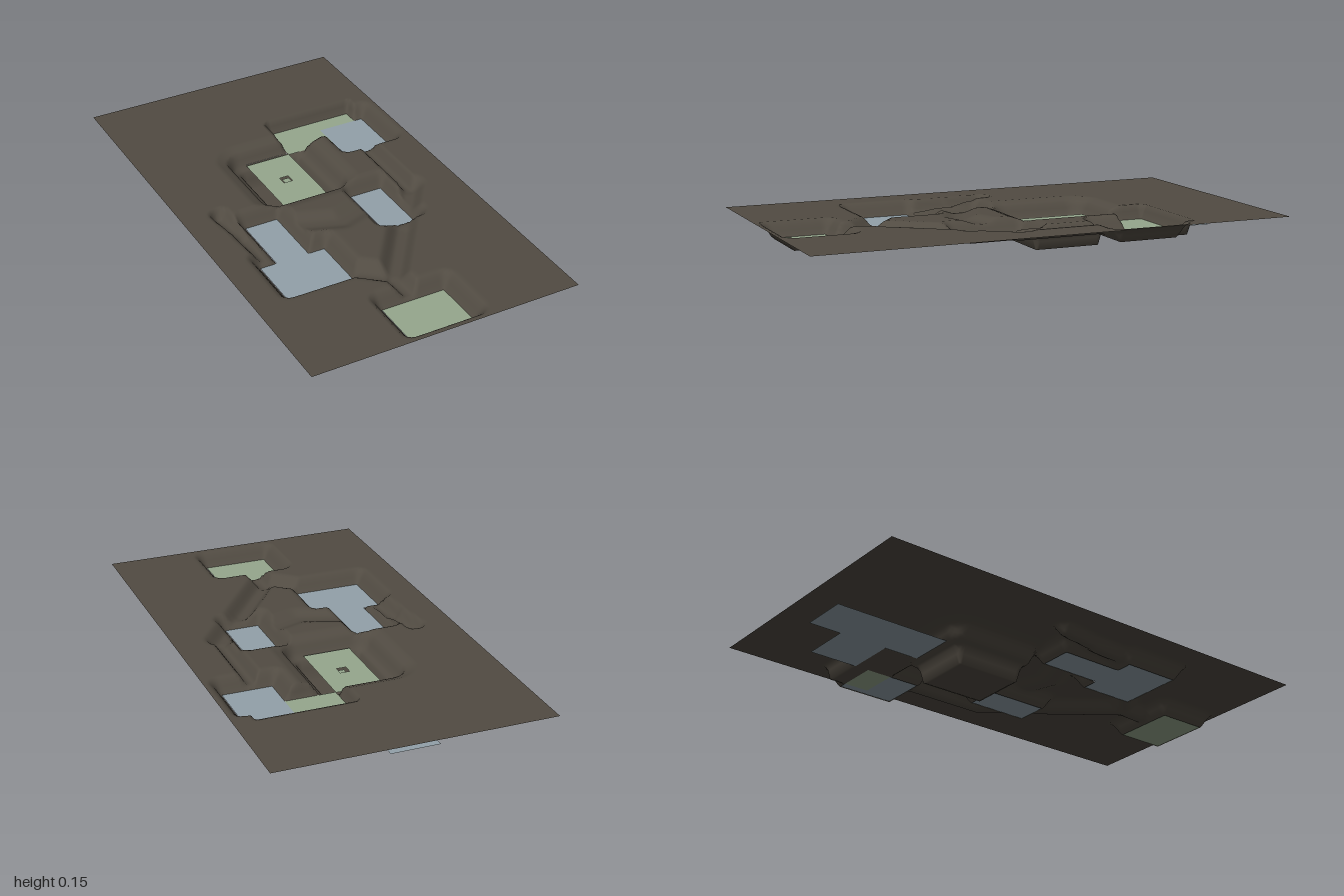
import * as THREE from 'three';

const FLOOR = 0.09, GROUND = 0.148;

// Rectangles are [x0, x1, z0, z1]
const stoneRooms = [
  [-0.33, -0.19, 0, 0.27], [-0.40, -0.12, 0.27, 0.51],
  [0.15, 0.29, 0, 0.27], [0.29, 0.495, -0.52, -0.275],
];
const frontRoom = [-0.12, 0.15, 0.72, 0.93];
const backRoom = [0.08, 0.46, -0.59, -0.41];
const mainRoom = [-0.12, 0.08, -0.415, -0.07];
const buriedRooms = [[-0.12, 0.08, -0.93, -0.428], [0.08, 0.29, -0.79, -0.58]];
const openRooms = [...stoneRooms, frontRoom];
const deepPit = [-0.14, 0.10, -0.38, -0.10];

// Trenches between the rooms: [x0, z0, x1, z1, depth, outer half width]
const trenches = [
  [0.37, -0.27, 0.37, 0.1, 0.045, 0.045], [0.37, 0.1, 0.2, 0.33, 0.042, 0.07],
  [0.2, 0.33, 0, 0.6, 0.045, 0.07], [-0.14, 0.48, 0, 0.6, 0.04, 0.07],
  [0, 0.6, 0.01, 0.74, 0.05, 0.06],
  [-0.41, -0.07, -0.385, 0.1, 0.04, 0.045], [-0.385, 0.1, -0.37, 0.27, 0.045, 0.05],
  [-0.19, 0.12, 0, 0.19, 0.02, 0.08], [0, 0.19, 0.17, 0.13, 0.02, 0.08],
];

// Wall profiles: [distance outward, height]
const slopedWall = [[0, FLOOR - 0.002], [0.005, FLOOR], [0.032, 0.132], [0.05, GROUND]];
const steepWall = [[0, FLOOR - 0.002], [0.003, FLOOR], [0.018, GROUND]];
const deepWall = [[0, 0], [0.018, 0.065], [0.05, 0.086], [0.075, 0.132], [0.12, GROUND]];
const pits = [
  ...openRooms.map(r => [r, slopedWall]), [backRoom, steepWall], [deepPit, deepWall],
];

function profile(points, d) {
  for (let i = 1; i < points.length; i++) {
    const [d0, y0] = points[i - 1], [d1, y1] = points[i];
    if (d <= d1) return THREE.MathUtils.lerp(y0, y1, (d - d0) / (d1 - d0));
  }
  return GROUND;
}

function rectDistance([x0, x1, z0, z1], x, z) {
  return Math.hypot(Math.max(x0 - x, 0, x - x1), Math.max(z0 - z, 0, z - z1));
}

function segmentDistance([x0, z0, x1, z1], x, z) {
  const dx = x1 - x0, dz = z1 - z0;
  const t = THREE.MathUtils.clamp(((x - x0) * dx + (z - z0) * dz) / (dx * dx + dz * dz), 0, 1);
  return Math.hypot(x - x0 - t * dx, z - z0 - t * dz);
}

function height(x, z) {
  let y = GROUND;
  for (const [rect, wall] of pits) y = Math.min(y, profile(wall, rectDistance(rect, x, z)));
  for (const t of trenches) {
    const fade = 1 - THREE.MathUtils.smoothstep(segmentDistance(t, x, z), 0.012, t[5]);
    y = Math.min(y, GROUND - t[4] * fade);
  }
  return y;
}

// Grid lines that pass through every room edge
function gridLines(edges) {
  const cuts = [...new Set(edges)].sort((a, b) => a - b);
  const lines = [cuts[0]];
  for (let i = 1; i < cuts.length; i++) {
    const n = Math.ceil((cuts[i] - cuts[i - 1]) / 0.012);
    for (let k = 1; k <= n; k++) lines.push(THREE.MathUtils.lerp(cuts[i - 1], cuts[i], k / n));
  }
  return lines;
}

// Ground sheet, open under the sunken rooms
function terrainGeometry() {
  const rects = pits.map(p => p[0]);
  const xs = gridLines([-0.568, 0.568, ...rects.flatMap(r => [r[0], r[1]])]);
  const zs = gridLines([-1, 1, ...rects.flatMap(r => [r[2], r[3]])]);
  const positions = [], index = [];
  for (const z of zs) for (const x of xs) positions.push(x, height(x, z), z);
  for (let j = 0; j < zs.length - 1; j++) {
    for (let i = 0; i < xs.length - 1; i++) {
      const cx = (xs[i] + xs[i + 1]) / 2, cz = (zs[j] + zs[j + 1]) / 2;
      if (openRooms.some(r => rectDistance(r, cx, cz) === 0)) continue;
      const a = j * xs.length + i, b = a + 1, c = a + xs.length, d = c + 1;
      index.push(a, c, b, b, c, d);
    }
  }
  const geometry = new THREE.BufferGeometry();
  geometry.setAttribute('position', new THREE.Float32BufferAttribute(positions, 3));
  geometry.setIndex(index);
  geometry.computeVertexNormals();
  return geometry;
}

// Flat floor with an optional rectangular opening
function floorGeometry([x0, x1, z0, z1], y, hole) {
  const corners = (a, b, c, d) => [[a, -d], [b, -d], [b, -c], [a, -c]].map(p => new THREE.Vector2(...p));
  const shape = new THREE.Shape(corners(x0, x1, z0, z1));
  if (hole) shape.holes.push(new THREE.Path(corners(...hole)));
  return new THREE.ShapeGeometry(shape).rotateX(-Math.PI / 2).translate(0, y, 0);
}

export function createModel() {
  const group = new THREE.Group();
  const material = (name, color) =>
    new THREE.MeshStandardMaterial({ name, color, side: THREE.DoubleSide });
  const earth = material('earth brown', 0x514b42);
  const moss = material('moss green', 0x96a78d);
  const slate = material('slate blue', 0x92a1a9);
  const add = (name, geometry, mat) => {
    const mesh = new THREE.Mesh(geometry, mat);
    mesh.name = name;
    group.add(mesh);
  };

  add('terrain', terrainGeometry(), earth);

  // Floors of the sunken rooms
  stoneRooms.forEach((r, i) => add(`stoneFloor${i + 1}`, floorGeometry(r, FLOOR + 0.001), slate));
  buriedRooms.forEach((r, i) => add(`buriedFloor${i + 1}`, floorGeometry(r, FLOOR - 0.003), slate));
  add('frontFloor', floorGeometry(frontRoom, FLOOR), moss);
  add('backFloor', floorGeometry(backRoom, FLOOR), moss);

  // Main floor above the deep pit, with a half-covered shaft
  add('mainFloor', floorGeometry(mainRoom, FLOOR, [-0.04, 0, -0.265, -0.225]), moss);
  add('shaftLid', floorGeometry([-0.03, 0, -0.262, -0.228], FLOOR - 0.008), moss);
  return group;
}
